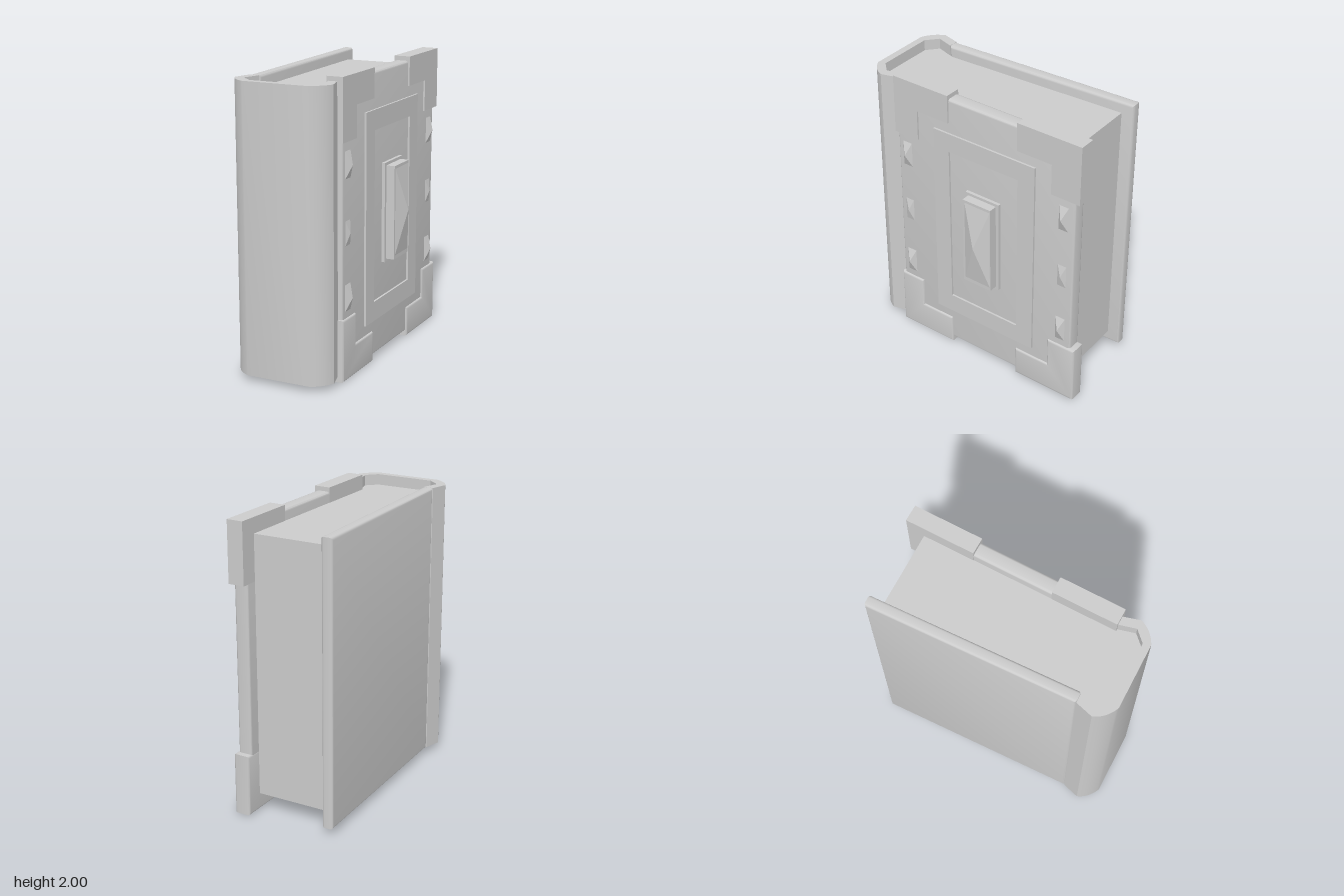
import * as THREE from 'three';
import { toCreasedNormals } from 'three/addons/utils/BufferGeometryUtils.js';

const material = new THREE.MeshStandardMaterial({ color: 0xcccccc });

function add(parent, name, geometry) {
  const mesh = new THREE.Mesh(toCreasedNormals(geometry, 0.6), material);
  mesh.name = name;
  parent.add(mesh);
  return mesh;
}

const outline = (points) => new THREE.Shape(points.map(([a, b]) => new THREE.Vector2(a, b)));
const rect = (z0, z1, y0, y1) => [[z0, y0], [z1, y0], [z1, y1], [z0, y1]];

// Slab from a [z, y] outline, thick along x, with an optional inset bevel
function slabX(points, x0, x1, bevel = 0, hole) {
  const flip = (list) => list.map(([z, y]) => [-z, y]);
  const shape = outline(flip(points));
  if (hole) shape.holes.push(outline(flip(hole)));
  const geometry = new THREE.ExtrudeGeometry(shape, {
    depth: x1 - x0 - 2 * bevel, bevelEnabled: bevel > 0,
    bevelSize: bevel, bevelOffset: -bevel, bevelThickness: bevel, bevelSegments: 3,
  });
  return geometry.rotateY(Math.PI / 2).translate(x0 + bevel, 0, 0);
}

// Prism from an [x, -z] shape, standing between two heights
function prismY(shape, y0, y1) {
  return new THREE.ExtrudeGeometry(shape, { depth: y1 - y0, bevelEnabled: false, curveSegments: 10 })
    .rotateX(-Math.PI / 2).translate(0, y0, 0);
}

// Four-sided pyramid pointing along +x
function pyramid(parent, name, z, y, width, height, x0, x1) {
  const geometry = new THREE.ConeGeometry(Math.SQRT1_2, 1, 4, 1)
    .rotateY(Math.PI / 4).rotateZ(-Math.PI / 2).translate(0.5, 0, 0)
    .scale(x1 - x0, height, width).translate(x0, y, z).toNonIndexed();
  geometry.computeVertexNormals();
  const mesh = new THREE.Mesh(geometry, material);
  mesh.name = name;
  parent.add(mesh);
}

export function createModel() {
  const book = new THREE.Group();
  book.name = 'book';

  // Page block, reaching into the hollow of the spine
  add(book, 'pages', prismY(outline([
    [-0.335, 0.735], [-0.32, -0.61], [-0.35, -0.73], [-0.27, -0.805],
    [0.14, -0.805], [0.21, -0.73], [0.18, -0.61], [0.19, 0.735],
  ].reverse()), 0.115, 1.895));

  // Rounded spine shell with a chamfered inside
  const spine = new THREE.Shape();
  spine.moveTo(-0.38, -0.61);
  spine.lineTo(-0.415, -0.73);
  spine.quadraticCurveTo(-0.385, -0.81, -0.295, -0.85);
  spine.lineTo(0.155, -0.85);
  spine.quadraticCurveTo(0.24, -0.81, 0.272, -0.73);
  spine.lineTo(0.24, -0.61);
  spine.lineTo(0.18, -0.61);
  spine.lineTo(0.21, -0.73);
  spine.lineTo(0.14, -0.8);
  spine.lineTo(-0.27, -0.8);
  spine.lineTo(-0.35, -0.73);
  spine.lineTo(-0.31, -0.61);
  add(book, 'spine', prismY(spine, 0.04, 1.97));

  // Plain cover, leaning outward towards the open edge
  const plainCover = add(book, 'plainCover', slabX(rect(0.6, -0.828, 0.04, 1.97), -0.395, -0.318, 0.018));
  plainCover.rotation.y = 0.0245;

  // Decorated cover and its fittings, leaning the other way
  const cover = new THREE.Group();
  cover.name = 'decoratedCover';
  cover.rotation.y = -0.0175;
  book.add(cover);
  add(cover, 'coverBoard', slabX(rect(0.6, -0.82, 0.035, 1.97), 0.18, 0.28, 0.018));

  // Raised frame around the centre
  add(cover, 'raisedFrame', slabX(rect(0.285, -0.52, 0.285, 1.725), 0.27, 0.294, 0,
    rect(0.16, -0.39, 0.42, 1.59)));

  // L-shaped corner guards: square at the top, softened at the bottom
  for (const [outer, inner, arm] of [[0.612, 0.165, 0.42], [-0.86, -0.382, -0.645]]) {
    const top = [[outer, 2], [inner, 2], [inner, 1.8], [arm, 1.8], [arm, 1.585], [outer, 1.585]];
    const bottom = [[outer, 0], [inner, 0], [inner, 0.213], [arm, 0.213], [arm, 0.425], [outer, 0.425]];
    add(cover, 'topCornerGuard', slabX(top, 0.178, 0.292));
    add(cover, 'bottomCornerGuard', slabX(bottom, 0.178, 0.292, 0.016));
  }

  // Centre mount and faceted stone
  add(cover, 'mountBase', slabX(rect(0.02, -0.25, 0.66, 1.345), 0.27, 0.302));
  add(cover, 'mountBlock', slabX(rect(-0.003, -0.227, 0.68, 1.325), 0.3, 0.362));
  pyramid(cover, 'stone', -0.12, 1.005, 0.205, 0.6, 0.362, 0.412);

  // Two columns of pyramid studs
  for (const z of [0.522, -0.737])
    for (const [y, tip] of [[0.56, 0.316], [0.99, 0.3], [1.435, 0.316]])
      pyramid(cover, 'stud', z, y, 0.083, 0.205, 0.275, tip);

  return book;
}
